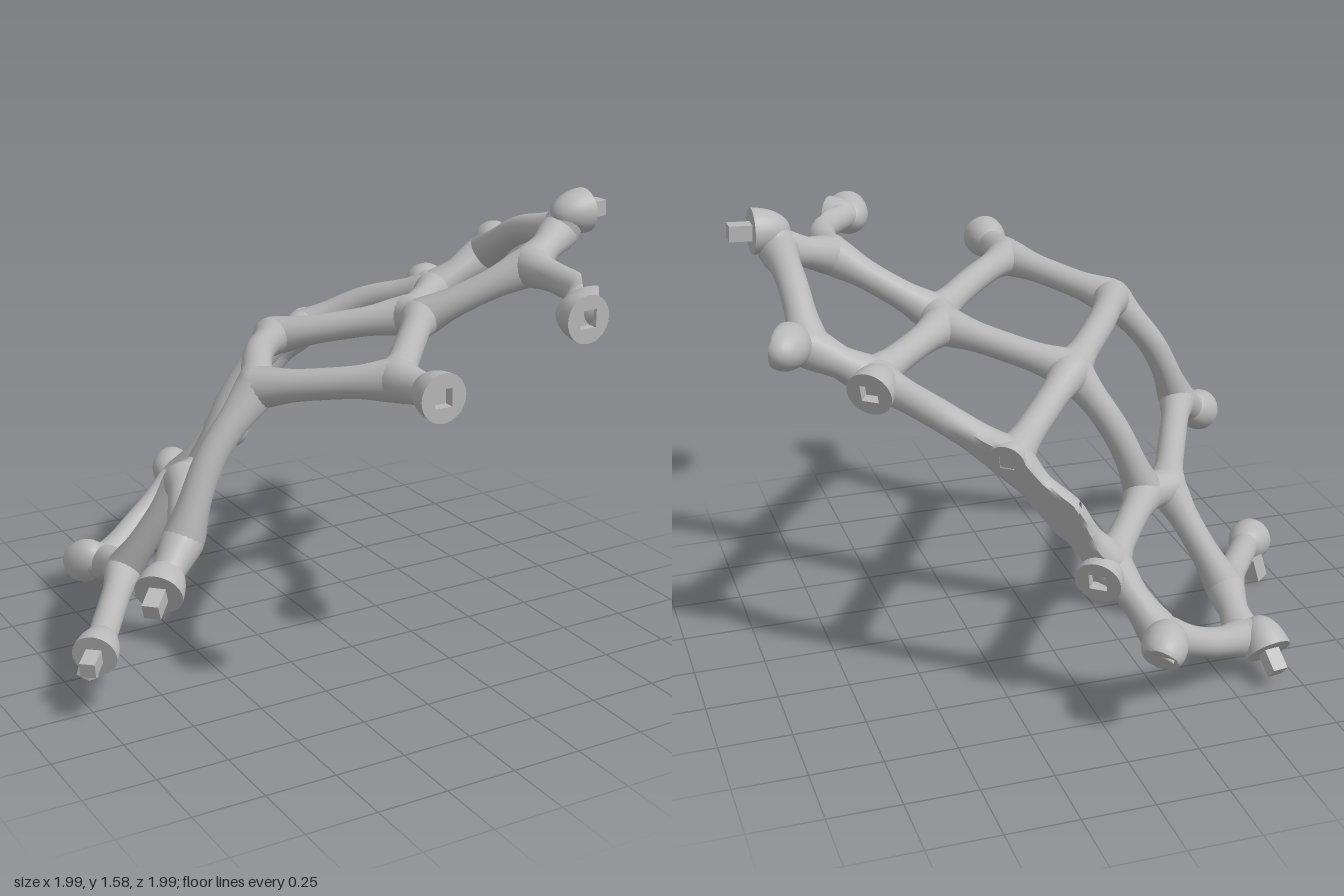
import * as THREE from 'three';
import { toCreasedNormals } from 'three/addons/utils/BufferGeometryUtils.js';

const V = (a) => new THREE.Vector3(...a);
const R = 0.051;          // strut radius
const FLARE = 0.019;      // extra radius where struts meet

// Lattice joints
const N = {
  frontMid: [-0.14, 1.16, 0.74], frontLeft: [-0.44, 1.08, 0.38], frontLow: [-0.73, 0.62, 0.41],
  centre: [-0.08, 1.05, -0.19], rightMid: [0.29, 1.15, 0.11], rightFront: [0.29, 1.16, 0.2],
  upper: [0.61, 1.35, 0.39], upperOut: [0.82, 1.43, 0.28], outer: [0.82, 1.24, -0.19],
  backRight: [0.62, 1.12, -0.22], backCut: [0.26, 0.93, -0.58], backBend: [0.11, 0.75, -0.67],
  backLow: [-0.05, 0.55, -0.67], midLow: [-0.34, 0.57, -0.24], midLeft: [-0.44, 0.56, -0.2],
  low: [-0.62, 0.2, -0.34], lowBack: [-0.585, 0.13, -0.59], backTip: [-0.19, 0.32, -0.79],
};

// Struts: from, to, optional in-between points
const STRUTS = [
  ['frontMid', 'frontLeft'], ['frontMid', 'rightFront', [0.08, 1.17, 0.47]],
  ['rightFront', 'rightMid'],
  ['frontLeft', 'frontLow', [-0.61, 0.87, 0.38]],
  ['frontLeft', 'centre', [-0.29, 1.09, 0.1]],
  ['frontLow', 'midLeft'], ['midLeft', 'midLow'], ['centre', 'rightMid'], ['centre', 'backCut'],
  ['centre', 'midLow', [-0.23, 0.82, -0.23]],
  ['rightFront', 'upper'], ['rightMid', 'backRight'], ['upper', 'upperOut'],
  ['upperOut', 'outer', [0.82, 1.38, 0.04]], ['outer', 'backRight'],
  ['backRight', 'backCut', [0.45, 1.05, -0.44]],
  ['backCut', 'backBend'], ['backBend', 'backLow'], ['backLow', 'midLow'],
  ['midLeft', 'low', [-0.52, 0.4, -0.26]], ['low', 'lowBack'],
  ['lowBack', 'backTip', [-0.4, 0.21, -0.71]], ['backTip', 'backLow'],
];

// Mating plane along the back edge
const BACK = V([0.6, -0.25, -0.75]).normalize();
const CUT_OFFSET = 0.035;

// Couplings: joint they hang on, centre of the flat face, facing, kind, size, bend of the arm
const COUPLINGS = [
  ['frontMid', [-0.125, 1.17, 0.99], [0, 0, 1], 'socket', 1],
  ['upper', [0.43, 1.33, 0.96], [0, 0, 1], 'socket', 1],
  ['upper', [0.51, 1.345, 0.9], [0.82, 0, 0.57], 'socket', 0.85, [0.575, 1.345, 0.72]],
  ['backRight', [0.66, 1.11, -0.335], BACK.toArray(), 'socket', 1],
  ['backCut', [0.285, 0.935, -0.612], BACK.toArray(), 'socket', 0.8],
  ['backLow', [0.015, 0.52, -0.735], BACK.toArray(), 'socket', 1],
  ['upperOut', [0.905, 1.495, 0.295], [0.97, 0.05, -0.03], 'peg', 1],
  ['frontLow', [-0.875, 0.51, 0.53], [-0.62, -0.36, 0.65], 'peg', 1],
  ['low', [-0.93, 0.125, 0.11], [-0.6, -0.2, 0.7], 'peg', 1],
  ['lowBack', [-0.645, 0.11, -0.675], [-0.1, -0.62, -0.75], 'peg', 1],
];

// Press every vertex lying beyond a plane back onto it
function flatten(geo, normal, point, offset) {
  const p = geo.attributes.position, v = new THREE.Vector3();
  for (let i = 0; i < p.count; i++) {
    v.fromBufferAttribute(p, i);
    const d = v.clone().sub(point).dot(normal) - offset;
    if (d > 0) v.addScaledVector(normal, -d);
    p.setXYZ(i, v.x, v.y, v.z);
  }
  return toCreasedNormals(geo, 0.7);
}

// Strut that widens softly toward its start, and toward its end if asked
function strutGeometry(points, flareEnd) {
  const curve = new THREE.CatmullRomCurve3(points.map(V));
  const rings = 28, sides = 20, len = curve.getLength();
  const geo = new THREE.TubeGeometry(curve, rings, R, sides, false);
  const p = geo.attributes.position, v = new THREE.Vector3();
  for (let i = 0; i <= rings; i++) {
    const t = i / rings, c = curve.getPointAt(t);
    const s = (flareEnd ? Math.min(t, 1 - t) : t) * len;
    const k = 1 + (FLARE / R) * Math.exp(-((s / 0.09) ** 2));
    for (let j = 0; j <= sides; j++) {
      const n = i * (sides + 1) + j;
      v.fromBufferAttribute(p, n).sub(c).multiplyScalar(k).add(c);
      p.setXYZ(n, v.x, v.y, v.z);
    }
  }
  return geo;
}

export function createModel() {
  const model = new THREE.Group();
  model.name = 'latticeFrame';
  const grey = new THREE.MeshStandardMaterial({ color: 0xb8b8b8 });
  grey.name = 'lightGrey';
  const add = (name, geo, parent = model) => {
    const m = new THREE.Mesh(geo, grey);
    m.name = name;
    parent.add(m);
    return m;
  };
  const onBackEdge = (k) => k === 'backCut' || k === 'backBend';
  const cutPoint = V(N.backCut);

  // Rounded joints
  for (const [key, pos] of Object.entries(N)) {
    let geo = new THREE.SphereGeometry(key === 'backBend' ? 0.06 : 0.069, 24, 16).translate(...pos);
    if (onBackEdge(key)) geo = flatten(geo, BACK, cutPoint, CUT_OFFSET - 0.005);
    add(key + 'Joint', geo);
  }

  // Struts between joints
  for (const [a, b, ...mid] of STRUTS) {
    let geo = strutGeometry([N[a], ...mid, N[b]], true);
    if (onBackEdge(a) || onBackEdge(b)) geo = flatten(geo, BACK, cutPoint, CUT_OFFSET);
    add(a + 'Strut', geo);
  }

  // Domed couplings with a square socket or peg
  const rad = 0.08, half = 0.03;
  const dome = Array.from({ length: 11 }, (_, i) => {
    const a = (i / 10) * Math.PI / 2;
    return new THREE.Vector2(rad * Math.sin(a), -0.135 * Math.cos(a));
  });
  const domeGeo = new THREE.LatheGeometry(dome, 32).rotateX(Math.PI / 2);
  const ring = new THREE.Shape().absarc(0, 0, rad * 0.93, 0, Math.PI * 2);
  ring.holes.push(new THREE.Path([[-half, -half], [-half, half], [half, half], [half, -half]]
    .map((q) => new THREE.Vector2(...q))));
  const ringGeo = new THREE.ExtrudeGeometry(ring, { depth: 0.04, bevelEnabled: false, curveSegments: 32 })
    .translate(0, 0, -0.04);
  const rimGeo = new THREE.RingGeometry(rad * 0.92, rad, 32);
  const floorGeo = new THREE.BoxGeometry(0.065, 0.065, 0.01).translate(0, 0, -0.04);
  const faceGeo = new THREE.CircleGeometry(rad, 32);
  const pegGeo = new THREE.BoxGeometry(0.055, 0.055, 0.1).translate(0, 0, 0.03);

  for (const [joint, pos, dir, kind, size, via] of COUPLINGS) {
    const d = V(dir).normalize(), face = V(pos);
    const g = new THREE.Group();
    g.name = joint + (kind === 'peg' ? 'PegCoupling' : 'SocketCoupling');
    g.position.copy(face);
    g.lookAt(face.clone().add(d));
    g.scale.setScalar(size);
    model.add(g);
    add('dome', domeGeo, g);
    if (kind === 'socket') {
      add('socketFace', ringGeo, g);
      add('socketRim', rimGeo, g);
      add('socketFloor', floorGeo, g);
    } else {
      add('pegFace', faceGeo, g);
      add('peg', pegGeo, g);
    }
    // Arm reaching from the joint into the dome, trimmed behind the flat face
    const back = face.clone().addScaledVector(d, -0.06);
    if (back.distanceTo(V(N[joint])) > 0.06 && (joint !== 'upper' || via)) {
      const arm = strutGeometry([N[joint], ...(via ? [via] : []), back.toArray()], false);
      add('arm', flatten(arm, d, face, -0.045));
    }
  }

  // Second peg under the low arm
  const peg = add('lowerPeg', new THREE.BoxGeometry(0.055, 0.09, 0.055));
  peg.position.set(-0.91, 0.05, 0.02);
  peg.rotation.set(0.2, 0.5, -0.3);

  // Egg-shaped half couplings, pared flat on their mating side
  const egg = (name, pos, axis, size, normal, offset) => {
    const q = new THREE.Quaternion().setFromUnitVectors(V([0, 0, 1]), V(axis).normalize());
    const geo = new THREE.SphereGeometry(1, 28, 20).scale(...size)
      .applyQuaternion(q).translate(...pos);
    add(name, flatten(geo, V(normal).normalize(), V(pos), offset));
  };
  egg('outerHalfCoupling', [0.9, 1.268, -0.235], [0.45, 0.05, -0.85], [0.078, 0.075, 0.115], [0.85, 0.05, 0.45], 0.03);
  egg('backHalfCoupling', [-0.165, 0.335, -0.885], [0.45, 0, -0.9], [0.077, 0.077, 0.115], [0.5, -0.5, -0.5], 0.06);

  // Pointed lip on the back coupling
  const lip = add('backLip', new THREE.ConeGeometry(0.04, 0.1, 16).rotateX(-Math.PI / 2));
  lip.scale.set(1.2, 0.6, 1);
  lip.position.set(-0.15, 0.335, -0.95);
  return model;
}
